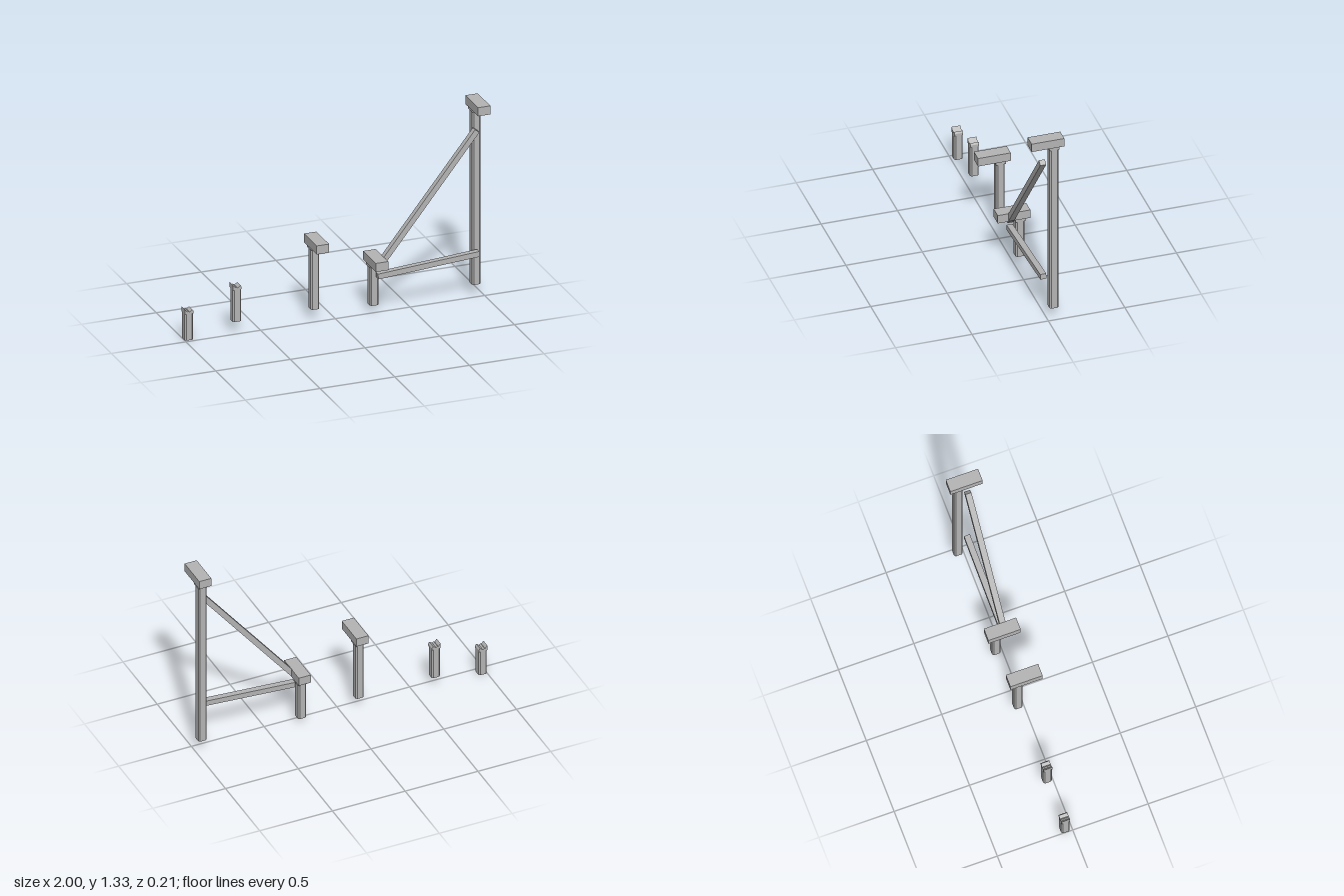
import * as THREE from 'three';

const POST_Z = -0.045, POST_W = 0.057;

export function createModel() {
  const model = new THREE.Group();
  const stone = new THREE.MeshStandardMaterial({ color: 0xb4b4b4 });

  const add = (parent, name, geometry, x, y, z) => {
    const mesh = new THREE.Mesh(geometry, stone);
    mesh.name = name;
    mesh.position.set(x, y, z);
    parent.add(mesh);
    return mesh;
  };

  // Square post with chamfered corners, standing on y
  const shaft = (parent, x, y, top) => {
    const h = POST_W / 2, c = h - 0.009;
    const outline = [[h, c], [c, h], [-c, h], [-h, c], [-h, -c], [-c, -h], [c, -h], [h, -c]]
      .map(p => new THREE.Vector2(...p));
    const geo = new THREE.ExtrudeGeometry(new THREE.Shape(outline), { depth: top - y, bevelEnabled: false });
    geo.rotateX(-Math.PI / 2);
    add(parent, 'shaft', geo, x, y, POST_Z);
  };

  // Whole posts: shaft, collar and long cap block
  const posts = [[-0.126, 0.075, 0.56], [0.27, 0.04, 0.38], [0.954, 0.075, 1.325]];
  for (const [x, bottom, top] of posts) {
    const post = new THREE.Group();
    post.name = 'cappedPost';
    shaft(post, x, bottom, top - 0.08);
    add(post, 'collar', new THREE.BoxGeometry(0.066, 0.024, 0.066), x, top - 0.069, POST_Z);
    add(post, 'capBlock', new THREE.BoxGeometry(0.083, 0.058, 0.214), x, top - 0.029, 0.001);
    model.add(post);
  }

  // Broken posts with a splintered top
  const stumps = [[-0.971, 0, 0.212], [-0.649, 0.075, 0.325]];
  for (const [x, bottom, top] of stumps) {
    const post = new THREE.Group();
    post.name = 'brokenPost';
    shaft(post, x, bottom, top - 0.035);
    const jag = [[-0.029, -0.035], [0.029, -0.035], [0.029, -0.02], [0.021, -0.008],
      [0.002, -0.022], [-0.008, -0.014], [-0.014, -0.018], [-0.029, 0]];
    const shape = new THREE.Shape(jag.map(p => new THREE.Vector2(...p)));
    const geo = new THREE.ExtrudeGeometry(shape, { depth: POST_W, bevelEnabled: false });
    add(post, 'splinteredTop', geo, x, top, POST_Z - POST_W / 2);
    model.add(post);
  }

  // Square beams fixed to the front of the two end posts
  const beam = (name, x1, y1, x2, y2) => {
    const length = Math.hypot(x2 - x1, y2 - y1);
    const mesh = add(model, name, new THREE.BoxGeometry(length, 0.036, 0.039),
      (x1 + x2) / 2, (y1 + y2) / 2, 0.0175);
    mesh.rotation.z = Math.atan2(y2 - y1, x2 - x1);
  };
  beam('diagonalBrace', 0.275, 0.308, 0.936, 1.136);
  beam('lowerRail', 0.273, 0.255, 0.951, 0.302);

  return model;
}
